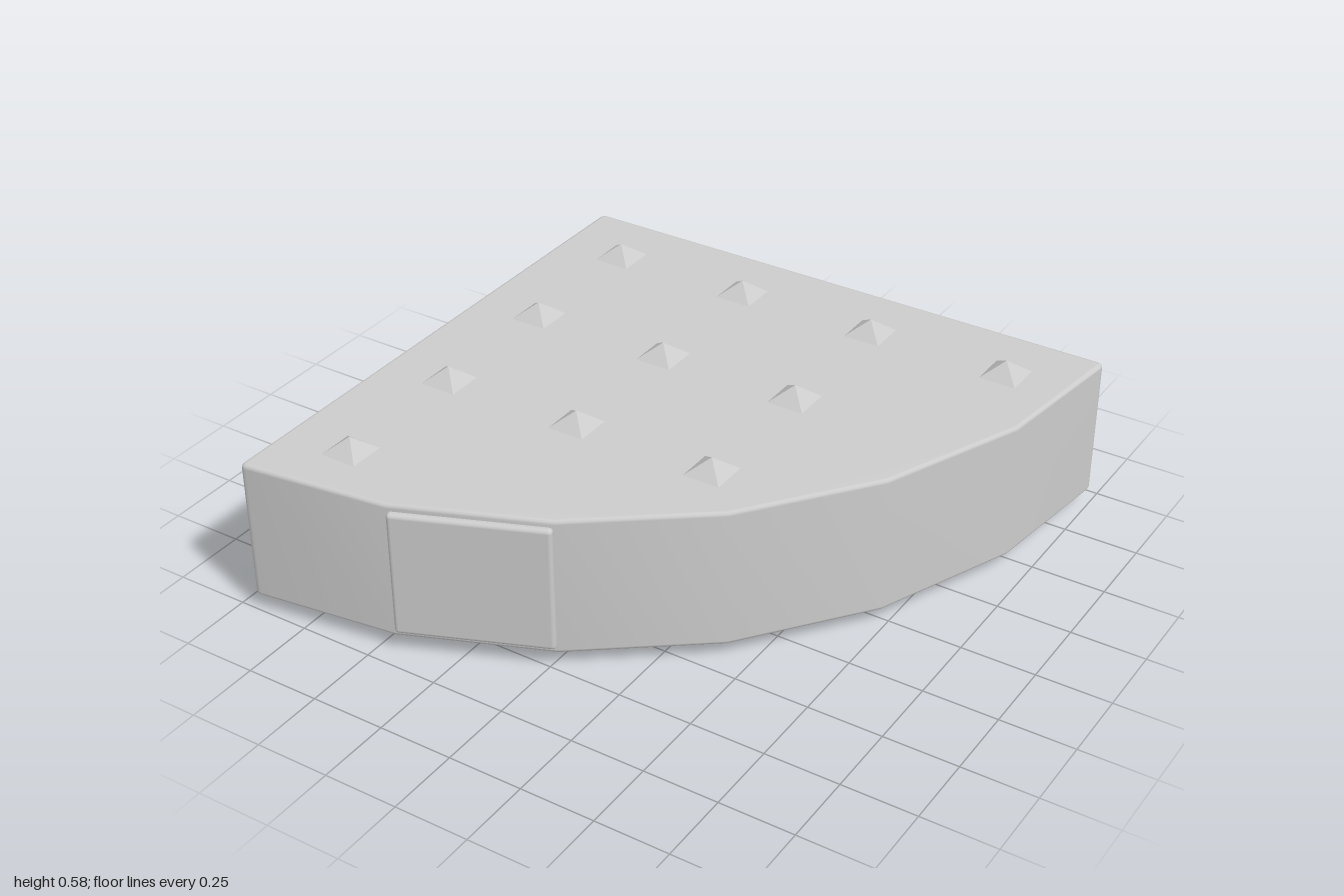
import * as THREE from 'three';
import { mergeVertices } from 'three/addons/utils/BufferGeometryUtils.js';
import { RoundedBoxGeometry } from 'three/addons/geometries/RoundedBoxGeometry.js';

const CORNER = -0.948, RADIUS = 1.946;      // centre and radius of the quarter disc
const BOTTOM = 0.055, TOP = 0.537, BEVEL = 0.014;
const SPIKES = [-0.71, -0.22, 0.27, 0.76];  // spacing of the spike grid

const material = new THREE.MeshStandardMaterial({ color: 0xcccccc });
const flatMaterial = new THREE.MeshStandardMaterial({ color: 0xcccccc, flatShading: true });

// Quarter disc outline in six straight steps, its three real corners slightly rounded
function quarterOutline() {
  const points = [new THREE.Vector2(CORNER, CORNER)];
  for (let i = 0; i <= 6; i++) {
    const a = (i * Math.PI) / 12;
    points.push(new THREE.Vector2(CORNER + RADIUS * Math.cos(a), CORNER + RADIUS * Math.sin(a)));
  }
  const shape = new THREE.Shape();
  const toward = (p, q) => p.clone().add(q.clone().sub(p).setLength(0.026));
  points.forEach((p, i) => {
    const before = toward(p, points[(i + 7) % 8]);
    const after = toward(p, points[(i + 1) % 8]);
    if (i === 0) shape.moveTo(before.x, before.y);
    if (i < 2 || i === 7) {
      if (i) shape.lineTo(before.x, before.y);
      shape.quadraticCurveTo(p.x, p.y, after.x, after.y);
    } else {
      shape.lineTo(p.x, p.y);
    }
  });
  shape.closePath();
  return shape;
}

function createBody() {
  let geometry = new THREE.ExtrudeGeometry(quarterOutline(), {
    depth: TOP - BOTTOM - 2 * BEVEL,
    bevelEnabled: true,
    bevelThickness: BEVEL,
    bevelSize: BEVEL,
    bevelOffset: -BEVEL,
    bevelSegments: 3,
    curveSegments: 4,
  });
  geometry.rotateX(Math.PI / 2).translate(0, TOP - BEVEL, 0);
  // Weld for smooth, area-weighted shading across the curved wall and bevels
  geometry.deleteAttribute('uv');
  geometry.deleteAttribute('normal');
  geometry = mergeVertices(geometry, 1e-4);
  geometry.computeVertexNormals();
  const body = new THREE.Mesh(geometry, material);
  body.name = 'quarterBody';
  return body;
}

// Raised panel on one facet of the curved wall
function createPanel() {
  const panel = new THREE.Mesh(new RoundedBoxGeometry(0.5, 0.435, 0.05, 3, 0.014), material);
  const a = THREE.MathUtils.degToRad(67.5);
  const distance = RADIUS * Math.cos(Math.PI / 24) - 0.005;
  panel.position.set(CORNER + distance * Math.cos(a), (BOTTOM + TOP) / 2, CORNER + distance * Math.sin(a));
  panel.rotation.y = Math.PI / 2 - a;
  panel.name = 'panel';
  return panel;
}

export function createModel() {
  const model = new THREE.Group();
  model.name = 'studdedQuarter';
  model.add(createBody(), createPanel());

  // Four-sided spike, base at the origin, tip along +y
  const spikeGeometry = new THREE.ConeGeometry(0.0625 * Math.SQRT2, 0.051, 4, 1);
  spikeGeometry.rotateY(Math.PI / 4).translate(0, 0.0255, 0);
  const up = new THREE.Vector3(0, 1, 0);
  const groups = {};
  const addSpike = (groupName, position, direction) => {
    if (!groups[groupName]) {
      groups[groupName] = new THREE.Group();
      groups[groupName].name = groupName;
      model.add(groups[groupName]);
    }
    const spike = new THREE.Mesh(spikeGeometry, flatMaterial);
    spike.name = 'spike';
    spike.position.set(...position);
    spike.quaternion.setFromUnitVectors(up, new THREE.Vector3(...direction));
    groups[groupName].add(spike);
  };

  // Spikes on the top and bottom, in rows that follow the curve
  [4, 3, 3, 1].forEach((count, row) => {
    for (let i = 0; i < count; i++) {
      addSpike('topSpikes', [SPIKES[i], TOP, SPIKES[row]], [0, 1, 0]);
      addSpike('bottomSpikes', [SPIKES[i], BOTTOM, SPIKES[row]], [0, -1, 0]);
    }
  });

  // One row of spikes along each straight wall
  const middle = (BOTTOM + TOP) / 2;
  for (const s of SPIKES) {
    addSpike('backSpikes', [s, middle, CORNER], [0, 0, -1]);
    addSpike('rightSpikes', [CORNER, middle, s], [-1, 0, 0]);
  }
  return model;
}
